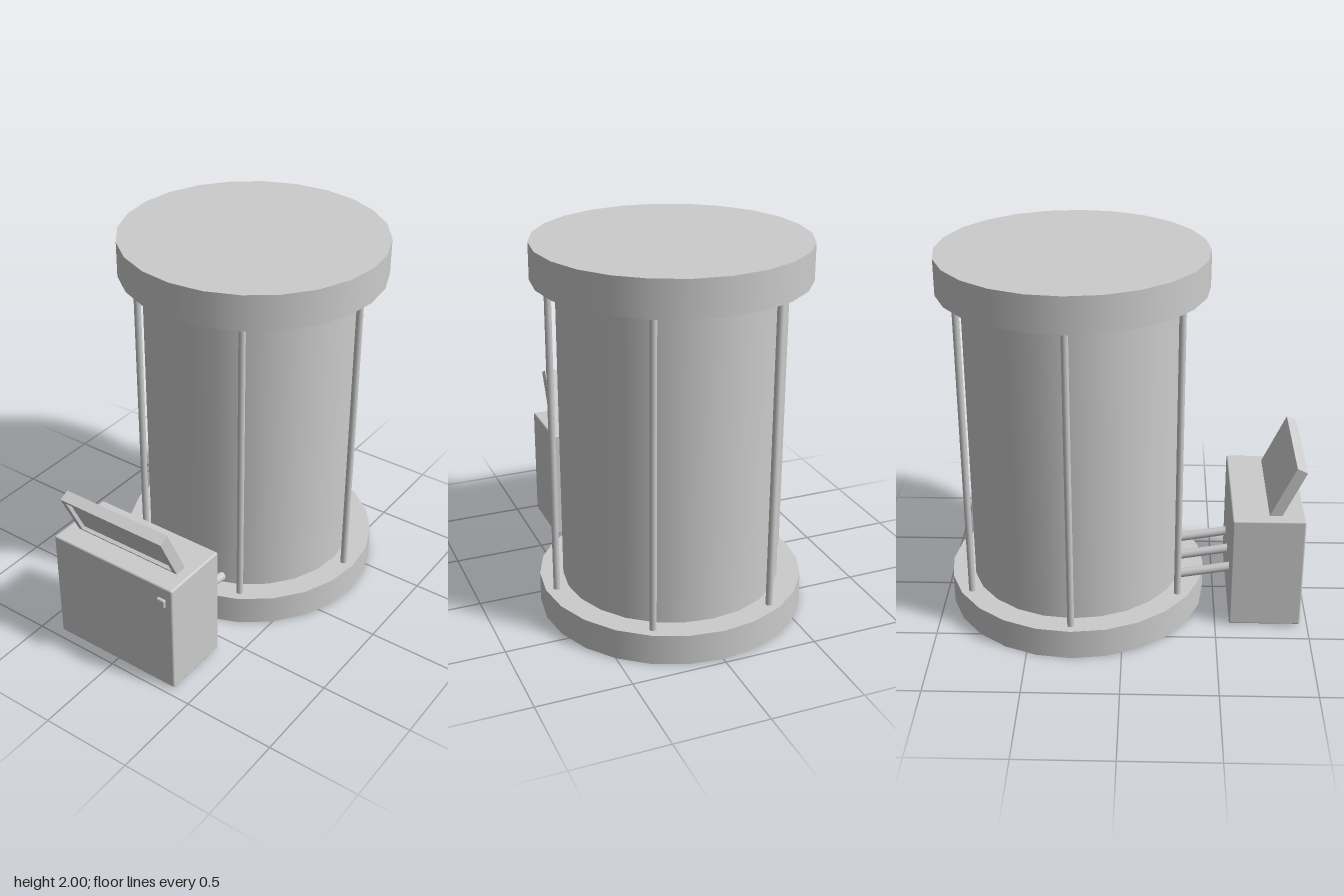
import * as THREE from 'three';
import { RoundedBoxGeometry } from 'three/addons/geometries/RoundedBoxGeometry.js';

export function createModel() {
  const model = new THREE.Group();
  model.name = 'chamberWithConsole';
  const grey = new THREE.MeshStandardMaterial({ color: 0xcccccc });
  grey.name = 'light grey';

  const add = (name, geometry, x, y, z, parent = model) => {
    const mesh = new THREE.Mesh(geometry, grey);
    mesh.name = name;
    mesh.position.set(x, y, z);
    parent.add(mesh);
    return mesh;
  };
  // Upright cylinder between two heights
  const drum = (name, radius, y0, y1, x, z, sides = 24) =>
    add(name, new THREE.CylinderGeometry(radius, radius, y1 - y0, sides), x, (y0 + y1) / 2, z);

  // Chamber: base, body, roof and six rods standing around the body
  const cz = -0.265;
  drum('base', 0.705, 0, 0.165, 0, cz);
  drum('chamberBody', 0.58, 0.16, 1.815, 0, cz);
  drum('roof', 0.705, 1.81, 2, 0, cz);
  for (let i = 0; i < 6; i++) {
    const a = (i * Math.PI) / 3;
    drum('rod', 0.018, 0.16, 1.815, 0.645 * Math.cos(a), cz + 0.645 * Math.sin(a), 12);
  }

  // Pipes sloping from the console down to the chamber
  const start = new THREE.Vector3(0, 0.26, 0.59);
  const end = new THREE.Vector3(0, 0.205, 0.28);
  const direction = end.clone().sub(start);
  for (const x of [-0.193, 0, 0.193]) {
    const geometry = new THREE.CylinderGeometry(0.025, 0.025, direction.length(), 16);
    const pipe = add('pipe', geometry, x, (start.y + end.y) / 2, (start.z + end.z) / 2);
    pipe.quaternion.setFromUnitVectors(new THREE.Vector3(0, 1, 0), direction.clone().normalize());
  }

  // Console cabinet and its button
  add('consoleCabinet', new RoundedBoxGeometry(0.765, 0.64, 0.385, 2, 0.01), 0, 0.33, 0.768);
  add('button', new RoundedBoxGeometry(0.05, 0.05, 0.03, 2, 0.008), 0.318, 0.555, 0.96);

  // Screen: a framed slab leaning forward, pivoted at its top front edge
  const screen = new THREE.Group();
  screen.name = 'screen';
  screen.position.set(0, 0.905, 0.957);
  screen.rotation.x = THREE.MathUtils.degToRad(25);
  model.add(screen);

  const rect = (path, x, top, bottom) => {
    path.moveTo(-x, bottom);
    path.lineTo(x, bottom);
    path.lineTo(x, top);
    path.lineTo(-x, top);
    path.closePath();
    return path;
  };
  const outline = rect(new THREE.Shape(), 0.32, 0, -0.31);
  outline.holes.push(rect(new THREE.Path(), 0.293, -0.02, -0.27));
  const frame = new THREE.ExtrudeGeometry(outline, { depth: 0.02, bevelEnabled: false });
  add('screenFrame', frame, 0, 0, -0.02, screen);
  add('screenPanel', new THREE.BoxGeometry(0.64, 0.31, 0.04), 0, -0.155, -0.04, screen);

  return model;
}
